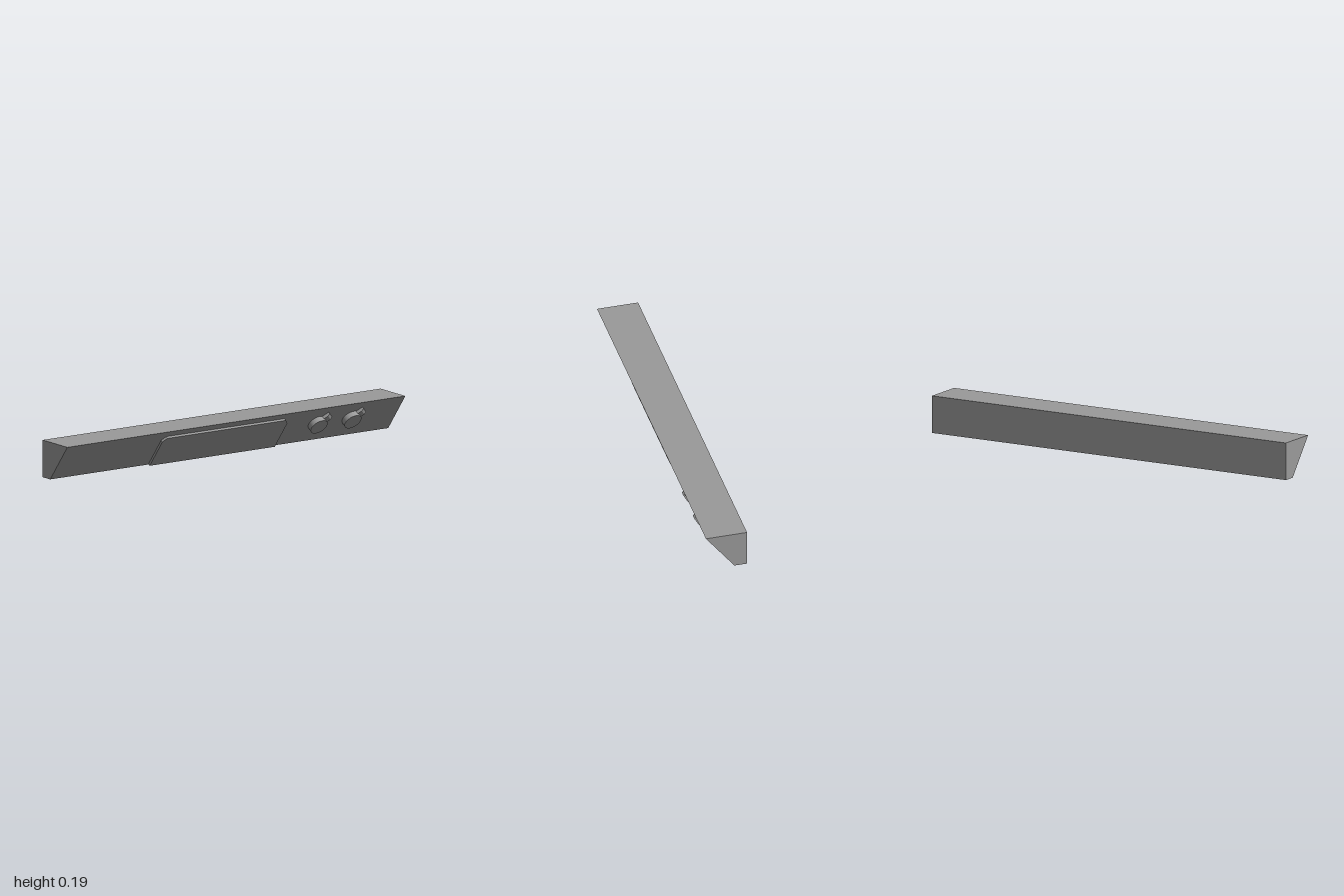
import * as THREE from 'three';

const SLOPE = Math.atan2(0.183, 0.142); // angle of the sloping control face

export function createModel() {
  const model = new THREE.Group();
  const material = new THREE.MeshStandardMaterial({ color: 0x9a9a9a, flatShading: true });
  const smooth = new THREE.MeshStandardMaterial({ color: 0x9a9a9a });

  const add = (parent, name, geometry, mat = material) => {
    const mesh = new THREE.Mesh(geometry, mat);
    mesh.name = name;
    parent.add(mesh);
    return mesh;
  };
  const extrude = (points, depth) => new THREE.ExtrudeGeometry(
    new THREE.Shape(points.map(([x, y]) => new THREE.Vector2(x, y))),
    { depth, bevelEnabled: false });

  // Long beam with one sloping side
  const beam = extrude([[-0.103, 0.004], [-0.04, 0.004], [0.102, 0.187], [-0.103, 0.187]], 2);
  add(model, 'beam', beam.translate(0, 0, -1));

  // Control face frame: local x runs along -z, y up the slope, z outwards
  const face = new THREE.Group();
  face.name = 'controlFace';
  const up = new THREE.Vector3(Math.cos(SLOPE), Math.sin(SLOPE), 0);
  const out = new THREE.Vector3(Math.sin(SLOPE), -Math.cos(SLOPE), 0);
  face.quaternion.setFromRotationMatrix(
    new THREE.Matrix4().makeBasis(new THREE.Vector3(0, 0, -1), up, out));
  face.position.set(-0.04, 0.004, 0);
  model.add(face);

  // Raised panel with clipped upper corners
  add(face, 'panel', extrude([
    [-0.42, 0.004], [0.32, 0.004], [0.32, 0.175], [0.3, 0.198], [-0.4, 0.198], [-0.42, 0.175],
  ], 0.012));

  // Two round knobs, each with a slanted pointer tab that thins at its tip
  for (const x of [0.52, 0.72]) {
    const knob = new THREE.Group();
    knob.name = 'knob';
    knob.position.set(x, 0.127, 0);
    face.add(knob);
    add(knob, 'dial', new THREE.CylinderGeometry(0.046, 0.046, 0.028, 32)
      .rotateX(Math.PI / 2).translate(0, 0, 0.014), smooth);
    const tab = extrude([[0, 0], [0.078, 0], [0.078, 0.01], [0.065, 0.016], [0, 0.016]], 0.04);
    add(knob, 'pointer', tab.translate(0, 0, -0.02)
      .rotateZ(Math.PI / 2).rotateY(Math.PI / 2).rotateZ(-0.8));
  }
  return model;
}
